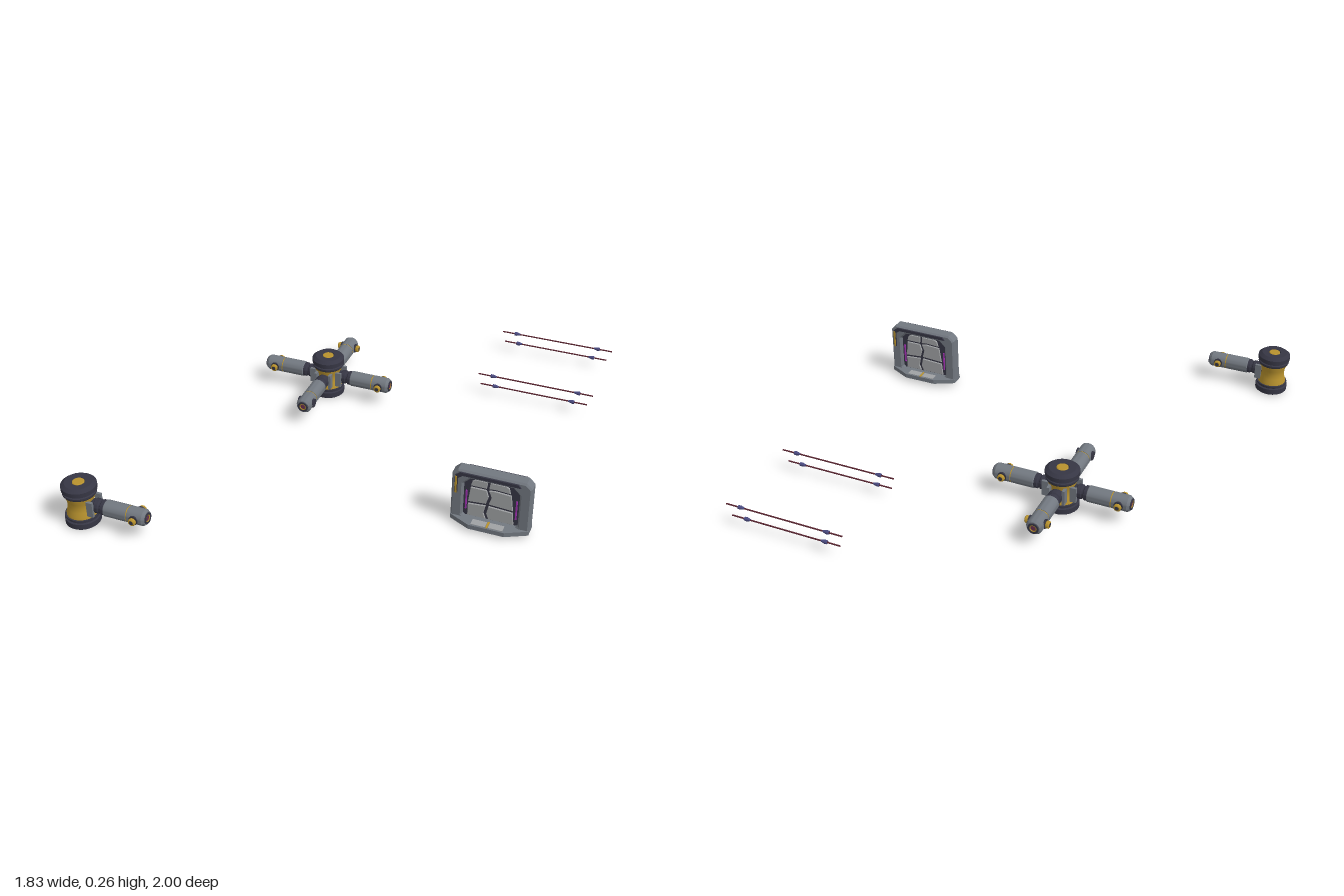
import * as THREE from 'three';
import { toCreasedNormals } from 'three/addons/utils/BufferGeometryUtils.js';

const mat = (color) => new THREE.MeshStandardMaterial({ color });
const steel = mat(0x727880), dark = mat(0x363644), gold = mat(0xb8922e), pale = mat(0xa0a2a4);
const rust = mat(0x5a2430), indigo = mat(0x4a4a80), magenta = mat(0xa030b0), purple = mat(0x6a3050);

function add(parent, name, geometry, material, x = 0, y = 0, z = 0) {
  const mesh = new THREE.Mesh(geometry, material);
  mesh.name = name;
  mesh.position.set(x, y, z);
  parent.add(mesh);
  return mesh;
}

function group(parent, name, x = 0, y = 0, z = 0) {
  const g = new THREE.Group();
  g.name = name;
  g.position.set(x, y, z);
  parent.add(g);
  return g;
}

// Turned solid from [radius, height] pairs
function lathe(points, sides = 32) {
  const g = new THREE.LatheGeometry(points.map(([r, h]) => new THREE.Vector2(r, h)), sides);
  return toCreasedNormals(g, 0.5);
}

// Turned solid whose axis lies along +x
const latheX = (points, sides) => lathe(points, sides).rotateZ(-Math.PI / 2);
const box = (w, h, d) => new THREE.BoxGeometry(w, h, d);
const shapeOf = (pts) => new THREE.Shape(pts.map(([x, y]) => new THREE.Vector2(x, y)));

// Plate cut from a shape, centred on z
function plate(shape, depth, bevel = 0) {
  const g = new THREE.ExtrudeGeometry(shape, {
    depth: depth - 2 * bevel, bevelEnabled: bevel > 0, bevelThickness: bevel,
    bevelSize: bevel, bevelOffset: -bevel, bevelSegments: 1,
  });
  return g.translate(0, 0, -depth / 2 + bevel);
}

// Rectangle with cut corners: c cuts the top, b cuts the bottom
const cutRect = (w, y0, y1, c, b = c) => [
  [-w + b, y0], [w - b, y0], [w, y0 + b], [w, y1 - c],
  [w - c, y1], [-w + c, y1], [-w, y1 - c], [-w, y0 + b],
];

// Arm reaching along +x from the axis of a column
function addArm(parent, angle, pinLength) {
  const arm = group(parent, 'arm', 0, 0.095, 0);
  arm.rotation.y = angle;
  for (const s of [-1, 1]) add(arm, 'socketCheek', box(0.028, 0.07, 0.012), steel, 0.062, 0, s * 0.034);
  add(arm, 'collar', latheX([[0, 0.03], [0.026, 0.03], [0.026, 0.068], [0.031, 0.072], [0.031, 0.09],
    [0.027, 0.094], [0.027, 0.1], [0.032, 0.104], [0.032, 0.118], [0, 0.118]]), dark);
  add(arm, 'sleeve', latheX([[0, 0.116], [0.031, 0.116], [0.035, 0.12], [0.035, 0.22], [0.032, 0.22],
    [0.032, 0.225], [0.035, 0.225], [0.035, 0.292], [0.028, 0.303], [0.022, 0.303]]), steel);
  add(arm, 'seam', latheX([[0.0322, 0.2205], [0.0338, 0.2205], [0.0338, 0.2245], [0.0322, 0.2245]]), gold);
  add(arm, 'endRing', latheX([[0.024, 0.3], [0.024, 0.307], [0.016, 0.307], [0.013, 0.301], [0, 0.301]]), dark);
  add(arm, 'endRim', new THREE.TorusGeometry(0.014, 0.0025, 6, 24).rotateY(Math.PI / 2), gold, 0.304);
  add(arm, 'endCore', latheX([[0.011, 0.298], [0.011, 0.304], [0, 0.306]], 24), purple);
  for (const s of [-1, 1]) {
    const pin = group(arm, 'pin', 0.258, 0, 0);
    pin.rotation.x = s * Math.PI / 2;
    add(pin, 'pinBase', lathe([[0.02, 0.025], [0.02, 0.037], [0, 0.037]], 20), dark);
    if (pinLength > 0.04) {
      add(pin, 'pinHead', lathe([[0.013, 0.037], [0.016, 0.04], [0.016, pinLength - 0.004],
        [0.012, pinLength], [0.009, pinLength]], 20), gold);
      add(pin, 'pinTip', lathe([[0.01, pinLength - 0.004], [0.009, pinLength], [0, pinLength]], 16), dark);
    }
  }
}

// Column with caps above and below a waisted body
function addColumn(parent, name, x, z, arms) {
  const g = group(parent, name, x, 0, z);
  add(g, 'body', lathe([[0.064, 0.04], [0.062, 0.058], [0.056, 0.075], [0.054, 0.095],
    [0.056, 0.115], [0.062, 0.132], [0.064, 0.15]]), gold);
  add(g, 'topCap', lathe([[0.05, 0.142], [0.067, 0.142], [0.07, 0.147], [0.07, 0.155], [0.065, 0.158],
    [0.065, 0.162], [0.073, 0.165], [0.073, 0.184], [0.057, 0.196], [0.028, 0.196], [0.026, 0.192], [0, 0.192]]), dark);
  add(g, 'bottomCap', lathe([[0, 0.004], [0.026, 0.004], [0.028, 0], [0.066, 0], [0.073, 0.006],
    [0.073, 0.03], [0.066, 0.033], [0.066, 0.036], [0.07, 0.039], [0.07, 0.046], [0.05, 0.046]]), dark);
  add(g, 'topButton', lathe([[0.025, 0.19], [0.025, 0.195], [0.022, 0.197], [0, 0.197]], 24), gold);
  add(g, 'bottomButton', lathe([[0, 0], [0.022, 0], [0.025, 0.002], [0.025, 0.006]], 24), gold);
  for (const [angle, pin] of arms) addArm(g, angle, pin);
}

// Standing shield, the same when turned half way round
function addShield(parent, x, z) {
  const g = group(parent, 'shield', x, 0, z);

  const outline = shapeOf(cutRect(0.164, 0.016, 0.264, 0.024, 0.008));
  outline.holes.push(new THREE.Path(cutRect(0.116, 0.034, 0.228, 0.028, 0.012)
    .map(([px, py]) => new THREE.Vector2(px, py))));
  add(g, 'frame', plate(outline, 0.056, 0.007), steel);
  add(g, 'core', plate(shapeOf(cutRect(0.125, 0.025, 0.235, 0.028, 0.012)), 0.018), dark);

  const foot = shapeOf([[-0.075, -0.073], [0.075, -0.073], [0.164, -0.028], [0.164, 0.028],
    [0.075, 0.073], [-0.075, 0.073], [-0.164, 0.028], [-0.164, -0.028]]);
  add(g, 'foot', plate(foot, 0.02).rotateX(Math.PI / 2), steel, 0, 0.027, 0);

  // Broken tiles with dark gaps between them
  const tiles = [
    [[-0.088, 0.189], [-0.022, 0.189], [-0.018, 0.222], [-0.066, 0.222], [-0.082, 0.212]],
    [[-0.012, 0.189], [0.012, 0.193], [0.076, 0.189], [0.07, 0.214], [0.058, 0.222], [-0.008, 0.222]],
    [[-0.096, 0.108], [-0.022, 0.114], [-0.012, 0.15], [-0.022, 0.181], [-0.088, 0.181]],
    [[-0.01, 0.114], [0.09, 0.108], [0.08, 0.181], [0.012, 0.185], [-0.012, 0.181], [0, 0.15]],
    [[-0.096, 0.04], [-0.02, 0.04], [-0.03, 0.066], [-0.022, 0.104], [-0.096, 0.098]],
    [[-0.008, 0.04], [0.096, 0.04], [0.09, 0.098], [-0.01, 0.104], [-0.018, 0.066]],
  ];
  for (const turn of [0, Math.PI]) {
    const face = group(g, 'shieldFace');
    face.rotation.y = turn;
    for (const t of tiles) add(face, 'tile', plate(shapeOf(t), 0.008, 0.002), pale, 0, 0, 0.011);
    for (const s of [-1, 1]) {
      add(face, 'glowStrip', box(0.006, 0.09, 0.006), magenta, s * 0.104, 0.115, 0.013);
      add(face, 'footPad', box(0.06, 0.004, 0.034), pale, s * 0.036, 0.037, 0.049);
    }
    add(face, 'footStripe', box(0.008, 0.005, 0.04), gold, 0, 0.037, 0.049);

    // Bracket hooked over one upper corner
    const hook = shapeOf([[-0.15, 0.155], [-0.138, 0.155], [-0.138, 0.226], [-0.118, 0.242],
      [0.12, 0.242], [0.108, 0.256], [-0.128, 0.256], [-0.15, 0.238]]);
    add(face, 'bracket', plate(hook, 0.008), dark, 0, 0, 0.031);
    add(face, 'bracketInlay', box(0.008, 0.08, 0.01), gold, -0.144, 0.196, 0.033);
    add(face, 'lowerTrim', box(0.2, 0.006, 0.008), gold, 0, 0.034, 0.022);
  }
}

// Thin rod with a tapered bead near each end
function addRod(parent, y, z, x0, x1) {
  const g = group(parent, 'rod', (x0 + x1) / 2, y, z);
  const half = (x1 - x0) / 2;
  add(g, 'shaft', new THREE.CylinderGeometry(0.0032, 0.0032, half * 2, 8).rotateZ(Math.PI / 2), rust);
  for (const s of [-1, 1]) {
    const bead = add(g, 'bead', latheX([[0, -0.014], [0.008, -0.014], [0.009, -0.004], [0.004, 0.014], [0, 0.014]], 12),
      indigo, s * (half - 0.073), 0, 0);
    if (s > 0) bead.rotation.y = Math.PI;
  }
}

export function createModel() {
  const model = new THREE.Group();
  model.name = 'barrierKit';

  const long = 0.053, flush = 0.037;
  addColumn(model, 'endPost', -0.844, 0.927, [[0, long]]);
  addColumn(model, 'crossPost', -0.283, -0.334,
    [[0, long], [Math.PI / 2, long], [Math.PI, long], [-Math.PI / 2, flush]]);
  addShield(model, 0.711, 0.365);

  for (const z of [-0.991, -0.573]) {
    addRod(model, 0.104, z, 0.375, 0.914);
    addRod(model, 0.052, z, 0.388, 0.892);
  }
  return model;
}
